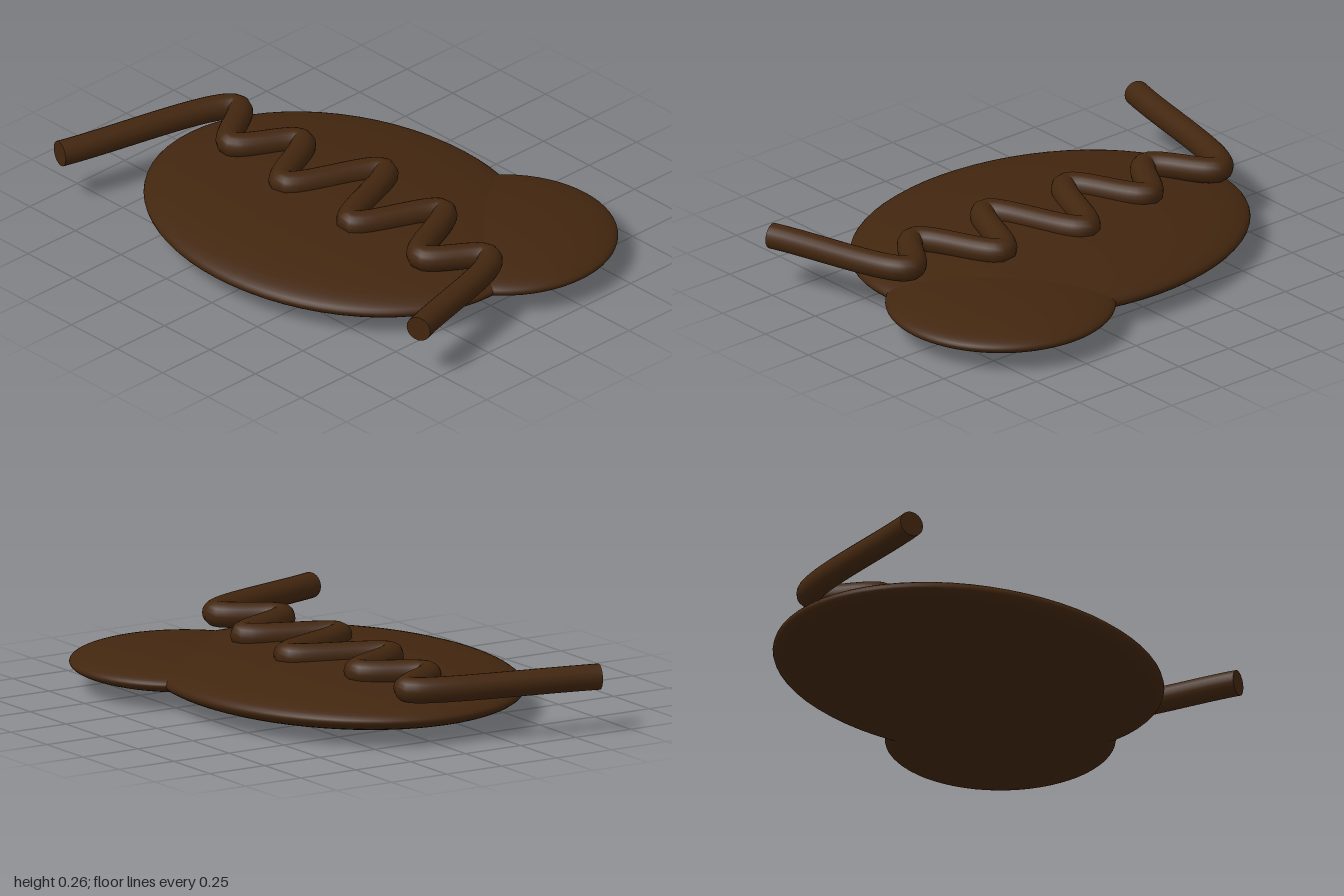
import * as THREE from 'three';

export function createModel() {
  const model = new THREE.Group();
  const brown = new THREE.MeshStandardMaterial({ color: 0x42260f });
  brown.name = 'dark brown';

  const add = (name, geometry) => {
    const mesh = new THREE.Mesh(geometry, brown);
    mesh.name = name;
    model.add(mesh);
    return mesh;
  };

  // Flattened ellipsoids forming the base
  const lobe = (name, position, radii) => {
    const mesh = add(name, new THREE.SphereGeometry(1, 64, 40));
    mesh.position.set(...position);
    mesh.scale.set(...radii);
  };
  lobe('body', [-0.015, 0.102, 0.06], [0.832, 0.102, 0.66]);
  lobe('sideLobe', [0.525, 0.102, -0.28], [0.44, 0.07, 0.44]);

  // Wavy strand lying across the top, as x and z pairs
  const path = [
    [-0.95, 0.64], [-0.735, -0.088], [-0.55, 0.12], [-0.38, -0.086],
    [-0.2, 0.18], [-0.003, -0.16], [0.19, 0.2], [0.372, -0.11],
    [0.56, 0.185], [0.74, 0.002], [0.945, 0.567],
  ];
  const radius = 0.05;
  const curve = new THREE.CatmullRomCurve3(path.map(([x, z]) => new THREE.Vector3(x, 0.21, z)));
  add('wavyStrand', new THREE.TubeGeometry(curve, 200, radius, 20));

  // Flat ends of the strand
  for (const t of [0, 1]) {
    const cap = add(t ? 'leftStrandEnd' : 'rightStrandEnd', new THREE.CircleGeometry(radius, 20));
    const outward = curve.getTangent(t).multiplyScalar(t ? 1 : -1);
    cap.position.copy(curve.getPoint(t));
    cap.quaternion.setFromUnitVectors(new THREE.Vector3(0, 0, 1), outward);
  }

  return model;
}
